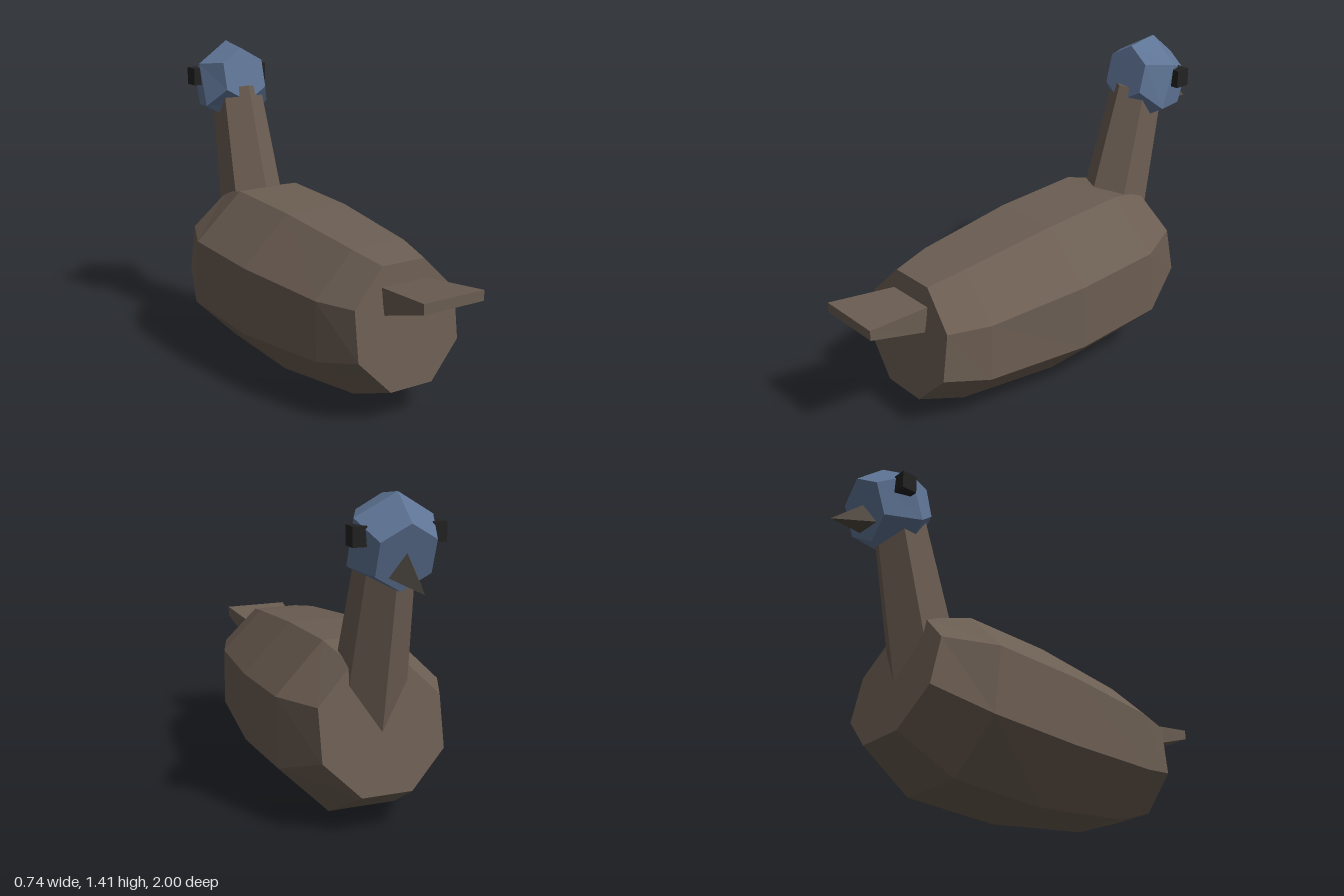
import * as THREE from 'three';

// Regular polygon outline, counter-clockwise, stretched to fill -1..1 both ways
function outline(sides, phase) {
  const pts = [];
  for (let i = 0; i < sides; i++) {
    const a = phase + (i / sides) * Math.PI * 2;
    pts.push([Math.cos(a), Math.sin(a)]);
  }
  const fit = (k) => {
    const vals = pts.map((p) => p[k]);
    const lo = Math.min(...vals), hi = Math.max(...vals);
    pts.forEach((p) => { p[k] = ((p[k] - lo) / (hi - lo)) * 2 - 1; });
  };
  fit(0);
  fit(1);
  return pts;
}

// Capped loft. Each section is [z0, y0, z1, y1, halfWidth]: the outline spans
// from (z0, y0) at v = -1 to (z1, y1) at v = 1 and is symmetric in x.
function loft(name, shape, sections, material) {
  const rings = sections.map(([z0, y0, z1, y1, w]) => shape.map(([u, v]) => {
    const t = (v + 1) / 2;
    return [u * w, y0 + (y1 - y0) * t, z0 + (z1 - z0) * t];
  }));
  const pos = [];
  const tri = (...corners) => corners.forEach((c) => pos.push(...c));
  const n = shape.length;
  for (let i = 0; i < rings.length - 1; i++) {
    const A = rings[i], B = rings[i + 1];
    for (let j = 0; j < n; j++) {
      const k = (j + 1) % n;
      tri(A[j], B[j], A[k]);
      tri(A[k], B[j], B[k]);
    }
  }
  const first = rings[0], last = rings[rings.length - 1];
  for (let j = 1; j < n - 1; j++) {
    tri(first[0], first[j], first[j + 1]);
    tri(last[0], last[j + 1], last[j]);
  }
  const geometry = new THREE.BufferGeometry();
  geometry.setAttribute('position', new THREE.Float32BufferAttribute(pos, 3));
  geometry.computeVertexNormals();
  const mesh = new THREE.Mesh(geometry, material);
  mesh.name = name;
  return mesh;
}

export function createModel() {
  const model = new THREE.Group();
  model.name = 'bird';
  const paint = (color) => new THREE.MeshStandardMaterial({ color, flatShading: true });
  const brown = paint(0x6b5d52), blue = paint(0x5f7596);
  const horn = paint(0x504a42), black = paint(0x222222);

  const octagon = outline(8, Math.PI / 8);
  const hexagon = outline(6, Math.PI / 2);
  const triangle = outline(3, Math.PI / 2);
  const square = outline(4, Math.PI / 4);

  // Barrel body, from rump to breast
  model.add(loft('body', octagon, [
    [0.75, 0.14, 0.68, 0.66, 0.255],
    [0.53, 0.06, 0.51, 0.69, 0.32],
    [0.02, 0.0, 0.04, 0.74, 0.372],
    [-0.44, 0.02, -0.37, 0.755, 0.372],
    [-0.70, 0.17, -0.58, 0.70, 0.27],
  ], brown));

  // Leaning neck, from inside the breast up into the head
  model.add(loft('neck', hexagon, [
    [-0.625, 0.32, -0.28, 0.41, 0.143],
    [-0.78, 1.16, -0.54, 1.218, 0.1],
  ], brown));

  // Faceted head, from nape to face
  model.add(loft('head', hexagon, [
    [-0.545, 1.14, -0.61, 1.39, 0.105],
    [-0.62, 1.02, -0.755, 1.412, 0.167],
    [-0.793, 1.032, -0.885, 1.307, 0.118],
  ], blue));

  // Three-sided beak
  model.add(loft('beak', triangle, [
    [-0.80, 1.095, -0.835, 1.2, 0.065],
    [-1.0, 1.06, -1.0, 1.06, 0],
  ], horn));

  // Tail, wide and thin at the tip
  model.add(loft('tail', square, [
    [1.0, 0.56, 1.0, 0.605, 0.15],
    [0.71, 0.462, 0.685, 0.575, 0.115],
  ], brown));

  // Eyes
  for (const side of [-1, 1]) {
    const eye = new THREE.Mesh(new THREE.BoxGeometry(0.06, 0.08, 0.07), black);
    eye.position.set(side * 0.167, 1.252, -0.75);
    eye.name = side > 0 ? 'eyePlusX' : 'eyeMinusX';
    model.add(eye);
  }
  return model;
}
